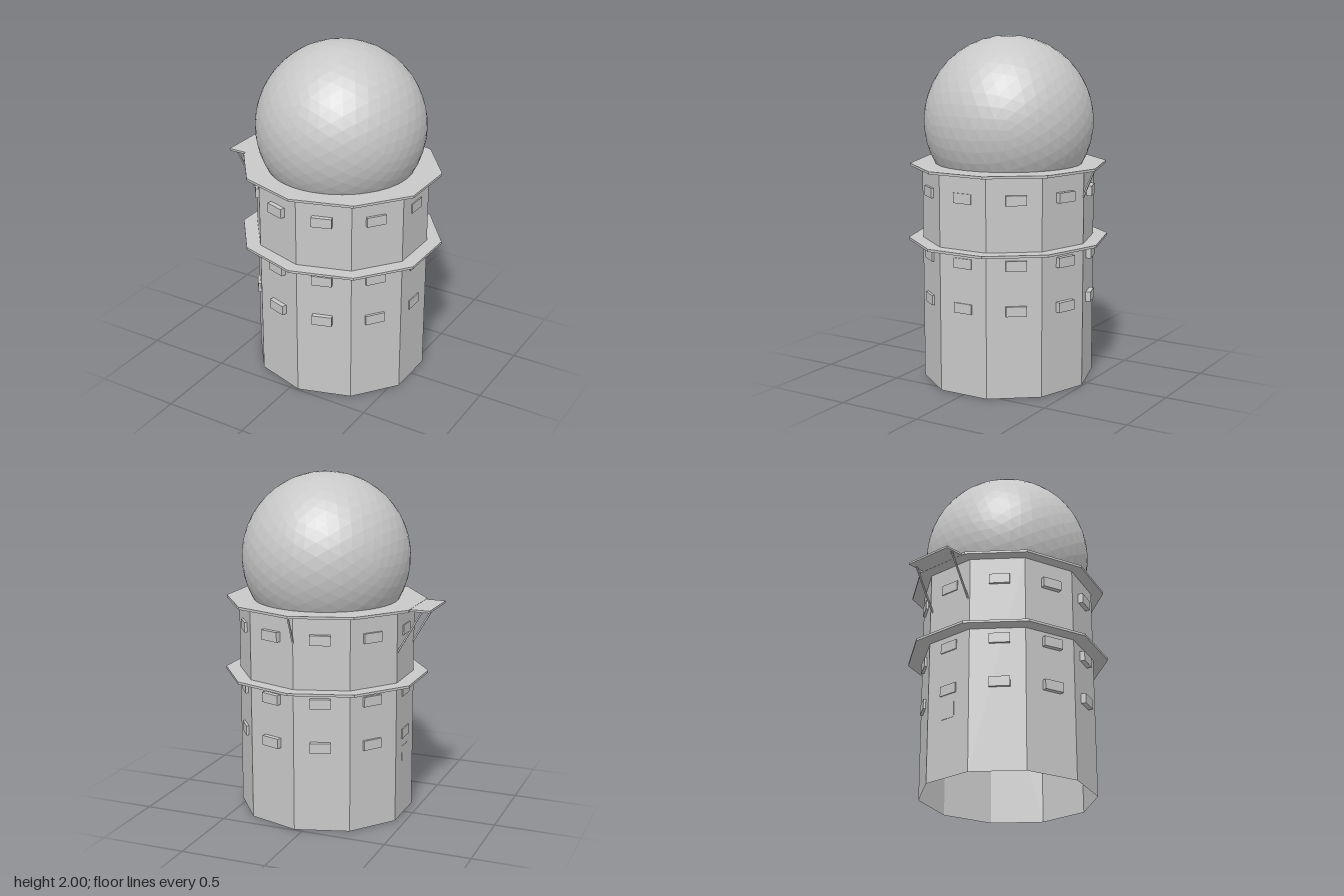
import * as THREE from 'three';

export function createModel() {
  const model = new THREE.Group();
  const tower = new THREE.Group();
  tower.name = 'radarTower';
  tower.position.x = 0.05;
  model.add(tower);

  const grey = new THREE.MeshStandardMaterial({ color: 0xc8c8c8, flatShading: true, side: THREE.DoubleSide });
  grey.name = 'paleGrey';

  function add(name, geometry, x = 0, y = 0, z = 0) {
    const mesh = new THREE.Mesh(geometry, grey);
    mesh.name = name;
    mesh.position.set(x, y, z);
    tower.add(mesh);
    return mesh;
  }

  // Ten-sided prism with a corner at the front, equally wide in x and z
  function decagon(half, y0, y1, open) {
    const g = new THREE.CylinderGeometry(1, 1, y1 - y0, 10, 1, open);
    g.scale(half / Math.sin(Math.PI * 0.4), 1, half);
    g.translate(0, (y0 + y1) / 2, 0);
    return g;
  }

  // Hollow wall, open at the base, and the two walkways
  add('wall', decagon(0.4925, 0, 1.26, true));
  add('lowerWalkway', decagon(0.575, 0.822, 0.836));
  add('upperWalkway', decagon(0.563, 1.256, 1.27));

  // Faceted dome
  add('dome', new THREE.IcosahedronGeometry(0.49, 7), 0, 1.51, 0);

  // Three rings of window boxes reaching through the wall
  const inner = 0.44, outer = 0.499;
  for (const y of [0.503, 0.76, 1.125]) {
    for (let i = 0; i < 10; i++) {
      const a = (i + 0.5) * Math.PI / 5, r = (inner + outer) / 2;
      const win = add('window', new THREE.BoxGeometry(0.116, 0.057, outer - inner),
        Math.sin(a) * r, y, Math.cos(a) * r);
      win.rotation.y = a;
    }
  }

  // Small hatch low on the right side
  add('hatch', new THREE.BoxGeometry(0.008, 0.09, 0.09), -0.491, 0.38, 0);

  // Side landing
  add('landing', new THREE.BoxGeometry(0.15, 0.012, 0.3), -0.605, 1.263, 0);

  // Diagonal braces
  function brace(from, to) {
    const a = new THREE.Vector3(...from), b = new THREE.Vector3(...to);
    const d = b.clone().sub(a);
    const mesh = add('brace', new THREE.BoxGeometry(0.009, d.length(), 0.009));
    mesh.position.copy(a).add(b).multiplyScalar(0.5);
    mesh.quaternion.setFromUnitVectors(new THREE.Vector3(0, 1, 0), d.normalize());
  }
  for (const z of [-0.138, 0.138]) brace([-0.63, 1.258, z], [-0.488, 1.01, z]);
  brace([0, 1.258, -0.555], [0, 1.1, -0.488]);

  return model;
}
